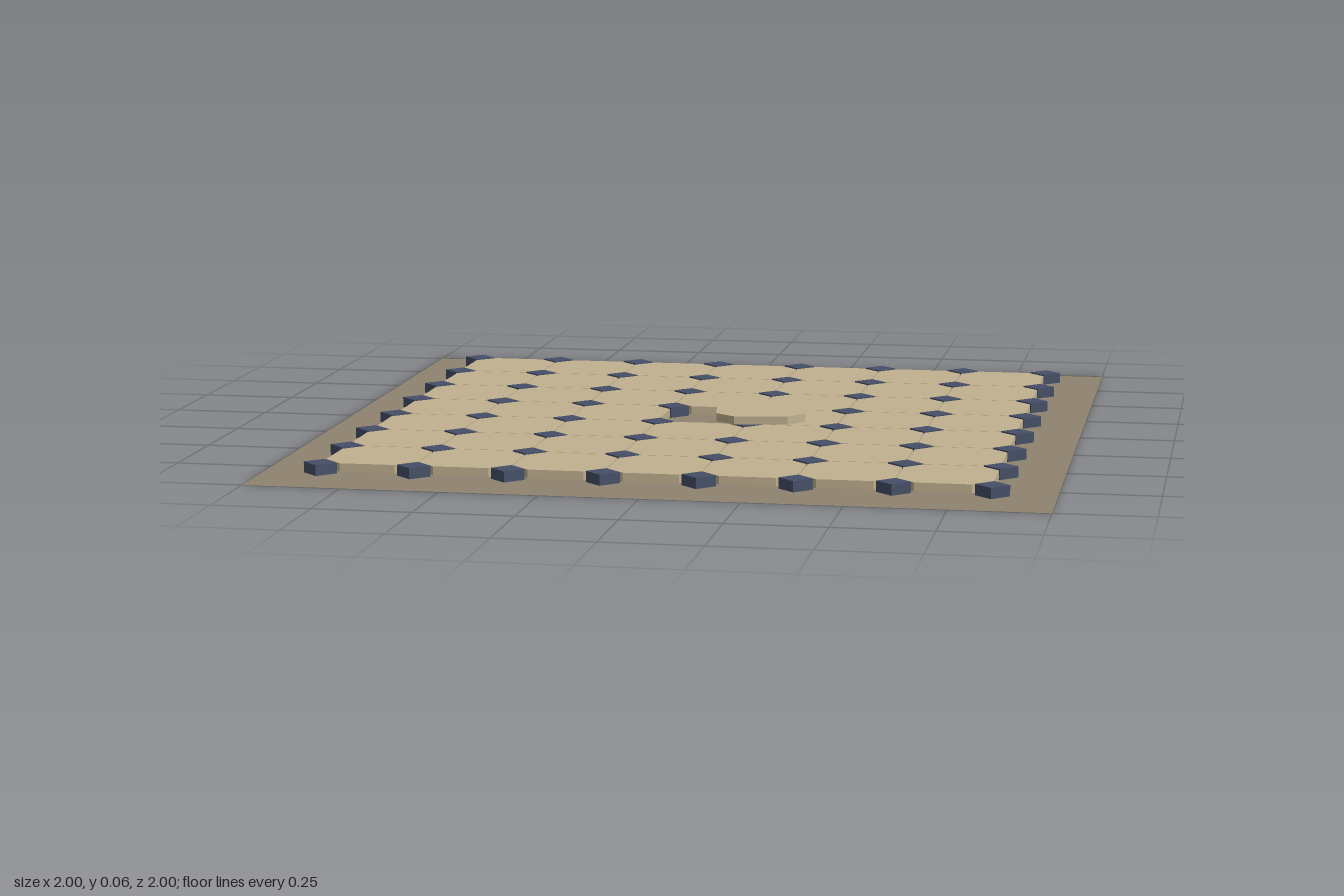
import * as THREE from 'three';

const COUNT = 7;        // tiles per side
const PITCH = 0.2412;   // spacing between tile centres
const HALF = 0.119;     // half width of a tile
const CUT = 0.048;      // corner cut of a tile
const DOT = 0.043;      // half diagonal of a corner inset

const mat = (name, color) => {
  const m = new THREE.MeshStandardMaterial({ color });
  m.name = name;
  return m;
};

// Flat slab from an outline in x and z, resting on its local y = 0
function slab(points, height) {
  const shape = new THREE.Shape(points.map(([x, z]) => new THREE.Vector2(x, z)));
  const geo = new THREE.ExtrudeGeometry(shape, { depth: height, bevelEnabled: false });
  return geo.rotateX(-Math.PI / 2);
}

export function createModel() {
  const group = new THREE.Group();
  const mortar = mat('mortar brown', 0x8f826f);
  mortar.side = THREE.DoubleSide;
  const stone = mat('sand stone', 0xc2b190);
  const slate = mat('slate blue', 0x454f66);

  const add = (name, geo, material, x, y, z) => {
    const mesh = new THREE.Mesh(geo, material);
    mesh.name = name;
    mesh.position.set(x, y, z);
    group.add(mesh);
    return mesh;
  };

  // Mortar bed
  add('mortarBed', new THREE.PlaneGeometry(2, 2).rotateX(-Math.PI / 2), mortar, 0, 0, 0);

  // Octagonal tiles, with the middle one missing
  const s = HALF - CUT;
  const tileGeo = slab([
    [HALF, -s], [HALF, s], [s, HALF], [-s, HALF],
    [-HALF, s], [-HALF, -s], [-s, -HALF], [s, -HALF],
  ], 0.022);
  const mid = (COUNT - 1) / 2;
  for (let i = 0; i < COUNT; i++) {
    for (let j = 0; j < COUNT; j++) {
      if (i === mid && j === mid) continue;
      add('octagonTile', tileGeo, stone, (i - mid) * PITCH, 0.01, (j - mid) * PITCH);
    }
  }

  // Diamond insets at the tile corners
  const dotGeo = slab([[DOT, 0], [0, DOT], [-DOT, 0], [0, -DOT]], 0.028);
  for (let i = 0; i <= COUNT; i++) {
    for (let j = 0; j <= COUNT; j++) {
      add('diamondInset', dotGeo, slate, (i - COUNT / 2) * PITCH, 0.006, (j - COUNT / 2) * PITCH);
    }
  }

  // The lifted tile lying askew beside its gap
  add('looseTile', tileGeo, stone, 0.148, 0.038, 0.04).rotation.y = 0.15;

  return group;
}
